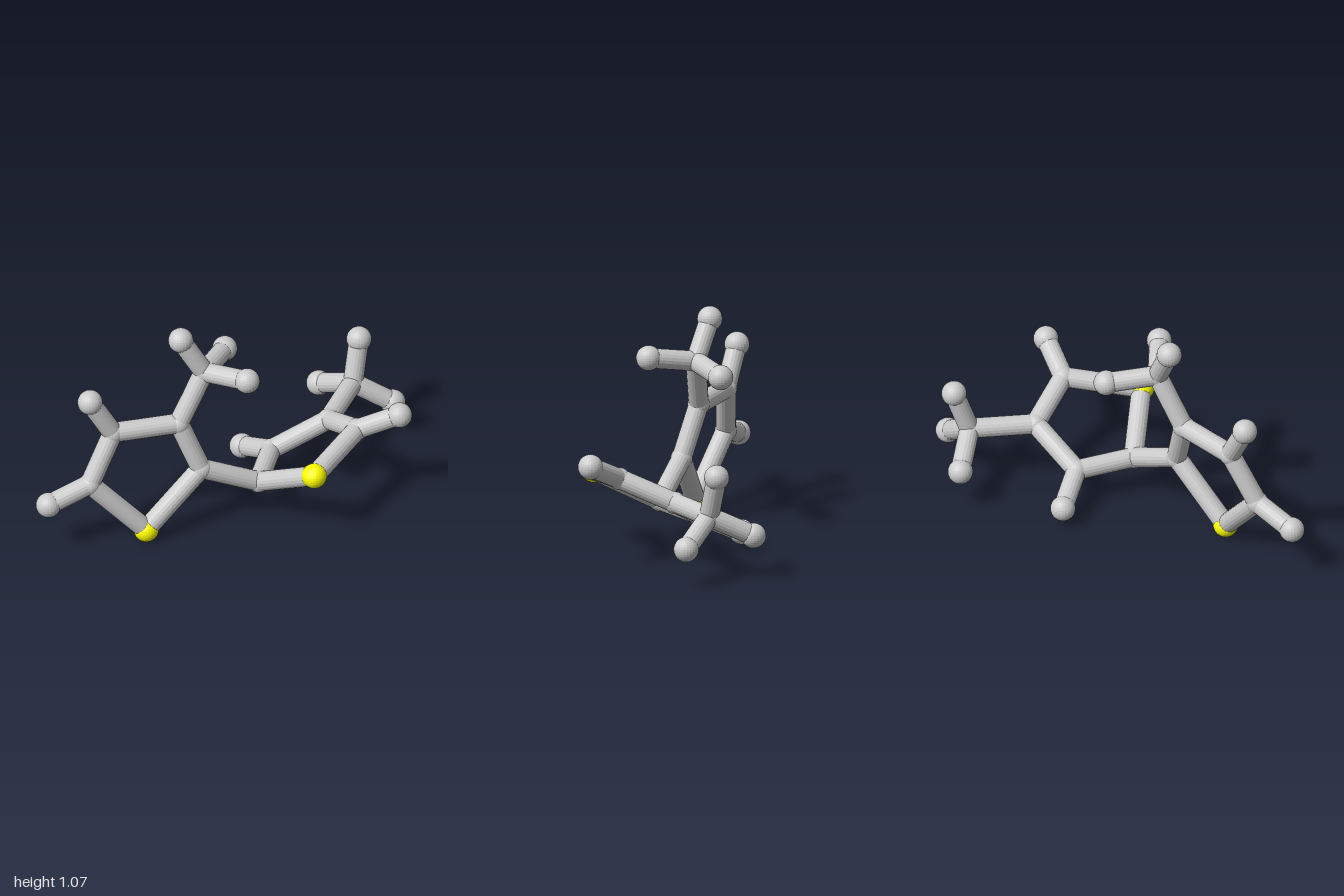
import * as THREE from 'three';

const ATOM_R = 0.06, JOINT_R = 0.053, BOND_R = 0.048;

// Atom centres: C = carbon joint, S = sulfur, H = hydrogen end
const atoms = {
  // upright ring
  S1: [-0.48, 0.06, 0.095],
  C1: [-0.195, 0.33, 0.1],
  C2: [-0.28, 0.578, 0.035],
  C3: [-0.595, 0.58, -0.03],
  C4: [-0.73, 0.34, 0],
  H3: [-0.7, 0.77, -0.06],
  H4: [-0.94, 0.275, -0.015],
  // methyl on the upright ring
  C5: [-0.14, 0.825, 0.02],
  H5a: [-0.24, 1.01, -0.027],
  H5b: [-0.01, 0.862, 0.22],
  H5c: [0.045, 0.8, -0.14],
  // lying ring
  S2: [0.24, 0.367, 0.432],
  C6: [0.085, 0.195, 0.145],
  C7: [0.258, 0.18, -0.08],
  C8: [0.533, 0.305, -0.025],
  C9: [0.558, 0.415, 0.24],
  H7: [0.2, 0.093, -0.275],
  H9: [0.73, 0.51, 0.343],
  // methyl on the lying ring
  C10: [0.765, 0.308, -0.238],
  H10a: [0.82, 0.515, -0.287],
  H10b: [0.94, 0.188, -0.165],
  H10c: [0.68, 0.205, -0.435],
};

const bonds = [
  'S1 C1', 'C1 C2', 'C2 C3', 'C3 C4', 'C4 S1', 'C3 H3', 'C4 H4',
  'C2 C5', 'C5 H5a', 'C5 H5b', 'C5 H5c',
  'C1 C6',
  'S2 C6', 'C6 C7', 'C7 C8', 'C8 C9', 'C9 S2', 'C7 H7', 'C9 H9',
  'C8 C10', 'C10 H10a', 'C10 H10b', 'C10 H10c',
];

const kinds = { C: 'carbonJoint', S: 'sulfurAtom', H: 'hydrogenAtom' };

export function createModel() {
  const model = new THREE.Group();
  model.name = 'ballAndStickMolecule';
  const grey = new THREE.MeshStandardMaterial({ color: 0xcccccc, flatShading: true });
  const yellow = new THREE.MeshStandardMaterial({ color: 0xffff00, flatShading: true });
  const ball = new THREE.SphereGeometry(ATOM_R, 24, 16);
  const joint = new THREE.SphereGeometry(JOINT_R, 24, 16);
  const up = new THREE.Vector3(0, 1, 0);

  // Balls at the atom centres
  for (const [id, position] of Object.entries(atoms)) {
    const kind = id[0];
    const mesh = new THREE.Mesh(kind === 'C' ? joint : ball, kind === 'S' ? yellow : grey);
    mesh.name = kinds[kind];
    mesh.position.set(...position);
    model.add(mesh);
  }

  // Round sticks between bonded atoms
  for (const pair of bonds) {
    const [a, b] = pair.split(' ').map((id) => new THREE.Vector3(...atoms[id]));
    const along = b.clone().sub(a);
    const stick = new THREE.Mesh(new THREE.CylinderGeometry(BOND_R, BOND_R, along.length(), 20), grey);
    stick.name = 'bond';
    stick.position.copy(a).add(b).multiplyScalar(0.5);
    stick.quaternion.setFromUnitVectors(up, along.normalize());
    model.add(stick);
  }
  return model;
}
